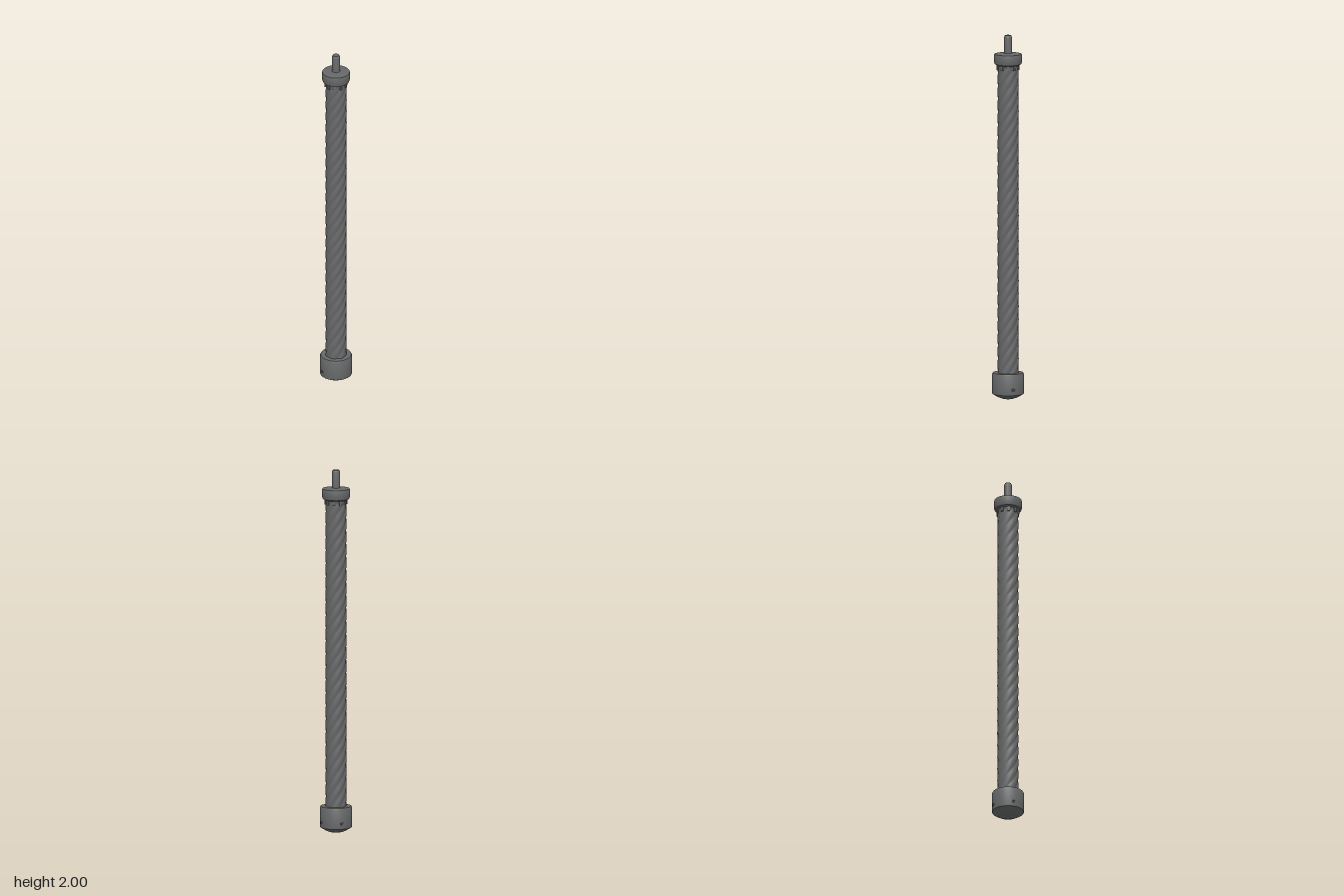
import * as THREE from 'three';
import { mergeVertices, toCreasedNormals } from 'three/addons/utils/BufferGeometryUtils.js';

const metal = new THREE.MeshStandardMaterial({ color: 0x676869 });
metal.name = 'darkGrey';

// Turned part from [radius, height] pairs, bottom to top
function turned(name, profile, sides) {
  const points = profile.map(([r, y]) => new THREE.Vector2(r, y));
  const mesh = new THREE.Mesh(toCreasedNormals(new THREE.LatheGeometry(points, sides), 0.5), metal);
  mesh.name = name;
  return mesh;
}

// Rod of spiral strands, rising to the right
function twistedShaft() {
  const bottom = 0.13, top = 1.86, strands = 7, turnsPerUnit = 2;
  let geo = new THREE.CylinderGeometry(1, 1, top - bottom, strands * 8, 150, true);
  geo.deleteAttribute('uv');
  geo.deleteAttribute('normal');
  geo = mergeVertices(geo, 1e-4);
  const pos = geo.attributes.position;
  for (let i = 0; i < pos.count; i++) {
    const a = Math.atan2(pos.getX(i), pos.getZ(i));
    const y = pos.getY(i) + (top + bottom) / 2;
    const twist = a + y * turnsPerUnit * Math.PI * 2;
    const wear = 0.0006 * Math.sin(y * 37 + a * 3);
    const r = 0.0535 + 0.0045 * Math.abs(Math.cos(a * strands / 2)) + wear;
    pos.setXYZ(i, r * Math.sin(twist), y, r * Math.cos(twist));
  }
  geo.computeVertexNormals();
  const mesh = new THREE.Mesh(geo, metal);
  mesh.name = 'twistedShaft';
  return mesh;
}

export function createModel() {
  const model = new THREE.Group();
  model.name = 'twistedRod';

  // Heavy foot with a blunt domed underside
  model.add(turned('foot', [
    [0, 0], [0.03, 0.003], [0.055, 0.012], [0.075, 0.024], [0.086, 0.03],
    [0.087, 0.036], [0.087, 0.138], [0.083, 0.146], [0.05, 0.146],
  ], 40));
  model.add(twistedShaft());

  // Collar with a flared neck and a shallow conical top
  model.add(turned('collar', [
    [0.054, 1.81], [0.06, 1.835], [0.072, 1.842], [0.075, 1.85],
    [0.077, 1.888], [0.074, 1.897], [0.022, 1.902], [0, 1.902],
  ], 40));
  model.add(turned('topPin', [
    [0.022, 1.89], [0.022, 1.99], [0.017, 2], [0, 2],
  ], 16));

  // Small teeth gripping the shaft under the collar
  const toothGeo = new THREE.BoxGeometry(0.012, 0.035, 0.014);
  for (let i = 0; i < 10; i++) {
    const a = (i / 10) * Math.PI * 2;
    const tooth = new THREE.Mesh(toothGeo, metal);
    tooth.name = 'collarTooth';
    tooth.position.set(Math.sin(a) * 0.056, 1.829, Math.cos(a) * 0.056);
    tooth.rotation.y = a;
    model.add(tooth);
  }

  // Little ring studs on the sides and back of the foot
  const studGeo = new THREE.TorusGeometry(0.007, 0.0025, 6, 12);
  for (const a of [Math.PI / 2, Math.PI, -Math.PI / 2]) {
    const stud = new THREE.Mesh(studGeo, metal);
    stud.name = 'footStud';
    stud.position.set(Math.sin(a) * 0.0865, 0.06, Math.cos(a) * 0.0865);
    stud.rotation.y = a;
    model.add(stud);
  }
  return model;
}
